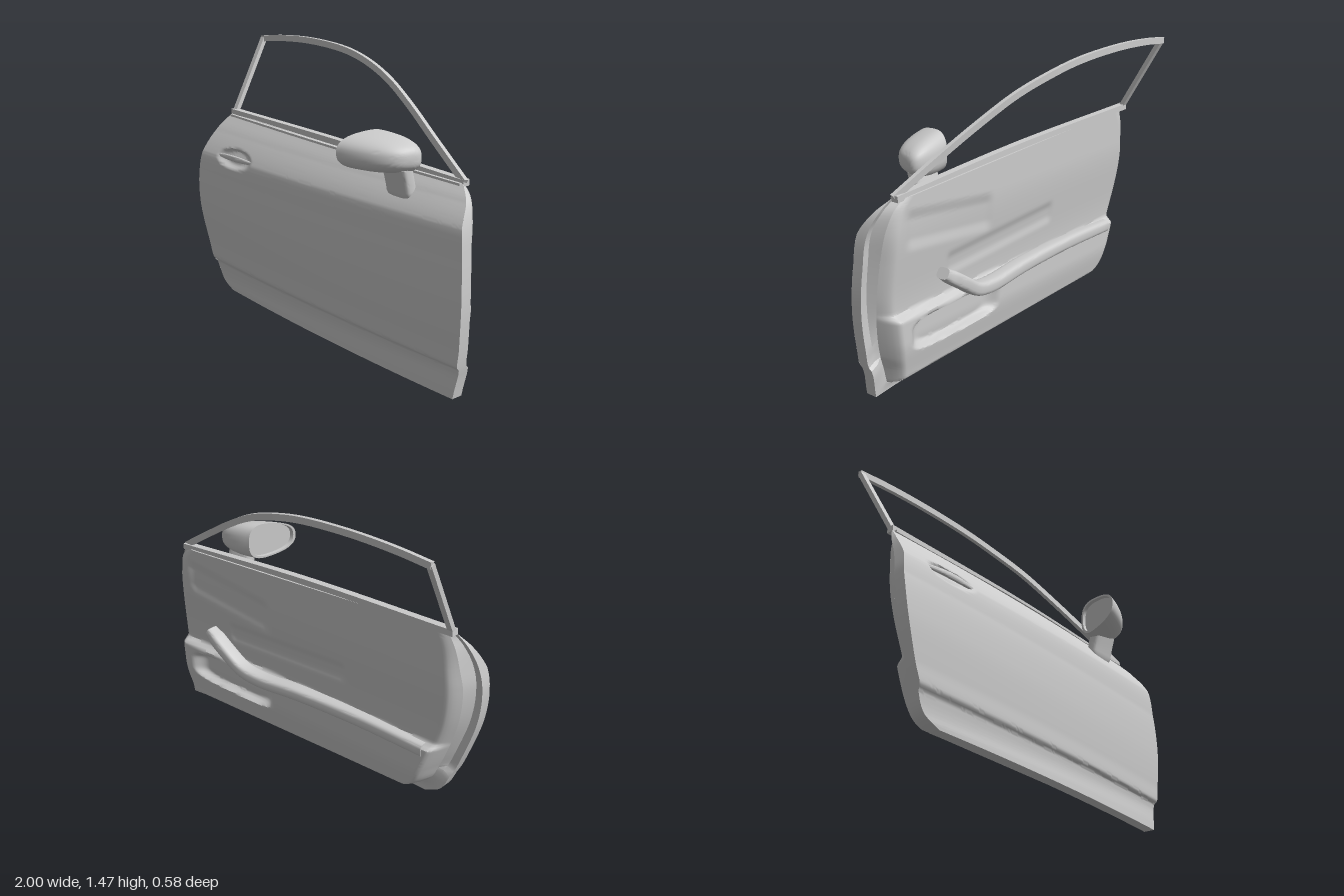
import * as THREE from 'three';
import { toCreasedNormals } from 'three/addons/utils/BufferGeometryUtils.js';

const V = (x, y, z) => new THREE.Vector3(x, y, z);
const material = new THREE.MeshStandardMaterial({ color: 0xcccccc, side: THREE.DoubleSide });
const smooth = (x, a, b) => THREE.MathUtils.smoothstep(x, a, b);
const lerp = THREE.MathUtils.lerp;

// Mesh from a grid of points f(i, j)
function surface(name, nu, nv, f, crease = 0.6) {
  const pos = [], idx = [];
  for (let j = 0; j <= nv; j++)
    for (let i = 0; i <= nu; i++) pos.push(...f(i, j).toArray());
  for (let j = 0; j < nv; j++)
    for (let i = 0; i < nu; i++) {
      const a = j * (nu + 1) + i, b = a + nu + 1;
      idx.push(a, a + 1, b, a + 1, b + 1, b);
    }
  const geo = new THREE.BufferGeometry();
  geo.setAttribute('position', new THREE.Float32BufferAttribute(pos, 3));
  geo.setIndex(idx);
  const mesh = new THREE.Mesh(toCreasedNormals(geo, crease), material);
  mesh.name = name;
  return mesh;
}

// Superellipse section swept along a smooth path, closed at both ends
function sweep(name, pts, halfWide, halfDeep, { power = 2.6, sides = 20, steps = 40, scale = () => 1 } = {}) {
  const curve = new THREE.CatmullRomCurve3(pts.map(p => V(...p)), false, 'centripetal');
  const sp = v => Math.sign(v) * Math.abs(v) ** (2 / power);
  return surface(name, sides, steps + 2, (i, j) => {
    const t = THREE.MathUtils.clamp((j - 1) / steps, 0, 1);
    const p = curve.getPoint(t), T = curve.getTangent(t);
    if (j === 0 || j === steps + 2) return p;
    const N = V(0, 0, 1).addScaledVector(T, -T.z).normalize();
    const S = N.clone().cross(T);
    const a = ((i % sides) + 0.5) / sides * Math.PI * 2, k = scale(t);
    return p.addScaledVector(S, sp(Math.cos(a)) * halfWide * k).addScaledVector(N, sp(Math.sin(a)) * halfDeep * k);
  });
}

// Rear and front edges of the skin, top to bottom
const rearEdge = new THREE.CatmullRomCurve3([
  V(-0.92, 1.04, -0.05), V(-0.965, 0.95, 0.03), V(-0.99, 0.83, 0.1), V(-1, 0.72, 0.13), V(-0.98, 0.55, 0.143),
  V(-0.93, 0.38, 0.138), V(-0.875, 0.235, 0.127), V(-0.82, 0.125, 0.115), V(-0.73, 0.075, 0.115)]);
const frontEdge = new THREE.CatmullRomCurve3([
  V(0.86, 0.97, -0.02), V(0.925, 0.91, 0.03), V(0.965, 0.81, 0.085), V(0.985, 0.66, 0.11), V(0.997, 0.46, 0.12),
  V(0.99, 0.3, 0.117), V(0.975, 0.165, 0.107), V(0.962, 0.1, 0.1), V(0.945, 0.005, 0.105)]);

// u runs rear to front, t runs top to bottom
function skinPoint(u, t) {
  const p = rearEdge.getPoint(t).lerp(frontEdge.getPoint(t), u);
  p.z += 0.025 * (1 - (2 * u - 1) ** 2);
  p.z += 0.012 * Math.max(0, 1 - Math.abs(t - 0.25) / 0.12);                       // shoulder crease
  p.z += 0.006 * smooth(t, 0.66, 0.74) - 0.016 * smooth(t, 0.74, 0.775) + 0.008 * smooth(t, 0.8, 0.95); // lower step
  const d = ((p.x + 0.685) / 0.165) ** 2 + ((p.y - 0.835) / 0.054) ** 2;
  p.z -= 0.028 * smooth(1 - d, 0, 0.75); // handle bowl
  return p;
}

// Soft-edged box mask for recesses, sheared by slope
function mask(x, y, x0, x1, y0, y1, soft, slope) {
  y -= slope * (x - (x0 + x1) / 2);
  return smooth(x, x0, x0 + soft) * smooth(-x, -x1, -x1 + soft) * smooth(y, y0, y0 + soft) * smooth(-y, -y1, -y1 + soft);
}

function trimPoint(u, t) {
  const p = rearEdge.getPoint(t).lerp(frontEdge.getPoint(t), u);
  p.x *= 0.955 - 0.03 * t;
  p.y += 0.045 * t;
  const { x, y } = p;
  const upper = lerp(-0.032, -0.068, smooth(y, 0.4, 0.85));
  const lower = lerp(-0.045, -0.076, smooth(y, 0.05, 0.28));
  let z = lerp(lower, upper, smooth(y, 0.39, 0.42));
  const d = Math.abs((x - 0.5) / 0.32) ** 4 + Math.abs((y - 0.29) / 0.085) ** 4;
  z += 0.05 * smooth(1 - d, 0, 0.75);                           // map pocket
  z += 0.011 * mask(x, y, 0.2, 0.84, 0.67, 0.89, 0.07, 0.12);   // upper recess
  z += 0.009 * mask(x, y, -0.3, 0.55, 0.51, 0.65, 0.05, -0.05); // middle recess
  // rounded border, except along the window sill
  const e = Math.min(u * 1.8, (1 - u) * 1.8, 1 - t);
  const border = lerp(-0.055, 0.04, smooth(t, 0, 0.7));
  p.z = lerp(border, z, Math.sqrt(smooth(e, 0, 0.055)));
  return p;
}

// Clockwise walk round the edge of the (u, t) square
function edgeUT(s) {
  const k = Math.floor(s) % 4, f = s - Math.floor(s);
  return [[f, 0], [1, f], [1 - f, 1], [0, 1 - f]][k];
}

function createMirror() {
  const group = new THREE.Group();
  group.name = 'wingMirror';
  const sides = 36, domeSteps = 16;
  const sp = v => Math.sign(v) * Math.abs(v) ** (2 / 2.7);
  // Recessed glass, rim, then the rounded housing
  const rings = [[0, 0.02, 0], [0.88, 0.02, 0], [0.9, 0, 0]];
  for (let k = 0; k <= domeSteps; k++) {
    const a = k / domeSteps * Math.PI / 2;
    rings.push([Math.max(0, Math.cos(a)) ** 0.65, 0.25 * Math.sin(a), 0.055 * Math.sin(a)]);
  }
  group.add(surface('mirrorHousing', sides, rings.length - 1, (i, j) => {
    const a = (i % sides) / sides * Math.PI * 2, [k, depth, shift] = rings[j];
    const c = sp(Math.cos(a)) * k, s = sp(Math.sin(a)) * k;
    const y = 1.072 - 0.09 * s * (1 - 0.22 * c) - 0.05 * depth;
    return V(0.4 - 0.042 * c + depth, y, 0.157 - shift + 0.132 * c);
  }));
  group.add(sweep('mirrorStalk', [[0.55, 1.01, 0.088], [0.55, 0.94, 0.068], [0.548, 0.868, 0.05]], 0.077, 0.036,
    { power: 4, sides: 24, steps: 12, scale: t => 1 - 0.15 * smooth(t, 0.85, 1) }));
  return group;
}

export function createModel() {
  const door = new THREE.Group();
  door.name = 'carDoor';

  // Outer skin and inner trim
  door.add(surface('outerSkin', 160, 120, (i, j) => skinPoint(i / 160, 1 - j / 120), 0.8));
  door.add(surface('innerTrim', 150, 110, (i, j) => trimPoint(1 - i / 150, 1 - j / 110), 0.9));

  // Shut face: skin edge, folded return, step in to the trim
  door.add(surface('shutFace', 160, 3, (i, j) => {
    const [u, t] = edgeUT(i / 40);
    const p = skinPoint(u, t), q = trimPoint(u, t);
    const depth = 0.06 * Math.min(1, t * 4);
    if (j === 0) return p;
    if (j === 3) return q;
    p.z -= depth;
    if (j === 2) { p.x = lerp(p.x, q.x, 0.6); p.y = lerp(p.y, q.y, 0.6); }
    return p;
  }, 0.5));

  // Window frame and sill
  const square = { power: 20, sides: 4 };
  door.add(sweep('windowArch', [
    [-0.935, 1.437, -0.283], [-0.75, 1.455, -0.284], [-0.5, 1.462, -0.28], [-0.2, 1.443, -0.262], [0, 1.403, -0.236],
    [0.2, 1.338, -0.194], [0.4, 1.24, -0.145], [0.6, 1.127, -0.092], [0.86, 0.975, -0.03]], 0.017, 0.011, square));
  door.add(sweep('rearPillar', [[-0.925, 1.44, -0.283], [-0.903, 1.04, -0.058]], 0.016, 0.012, { ...square, steps: 2 }));
  door.add(sweep('windowSill', [[-0.92, 1.047, -0.062], [0, 1.019, -0.04], [0.86, 0.972, -0.04]], 0.016, 0.02,
    { ...square, steps: 20 }));
  door.add(sweep('sillSeal', [[-0.91, 1.03, -0.035], [0, 1.0, 0.0], [0.85, 0.967, -0.014]], 0.006, 0.008,
    { ...square, steps: 20 }));

  // Outside handle lying across its bowl
  door.add(sweep('outsideHandle', [[-0.84, 0.835, 0.102], [-0.685, 0.838, 0.114], [-0.53, 0.835, 0.11]], 0.016, 0.01,
    { steps: 24, scale: t => 0.5 + 0.5 * Math.sin(Math.PI * t) }));

  // Armrest rising into the pull grip
  door.add(sweep('armrest', [
    [0.625, 0.56, -0.1], [0.5, 0.475, -0.1], [0.39, 0.405, -0.092], [0.27, 0.382, -0.082],
    [0, 0.39, -0.062], [-0.4, 0.39, -0.044], [-0.78, 0.378, -0.038]], 0.035, 0.043,
    { power: 3.6, steps: 60, scale: t => 0.8 + 0.2 * smooth(t, 0, 0.08) }));

  door.add(createMirror());
  return door;
}
